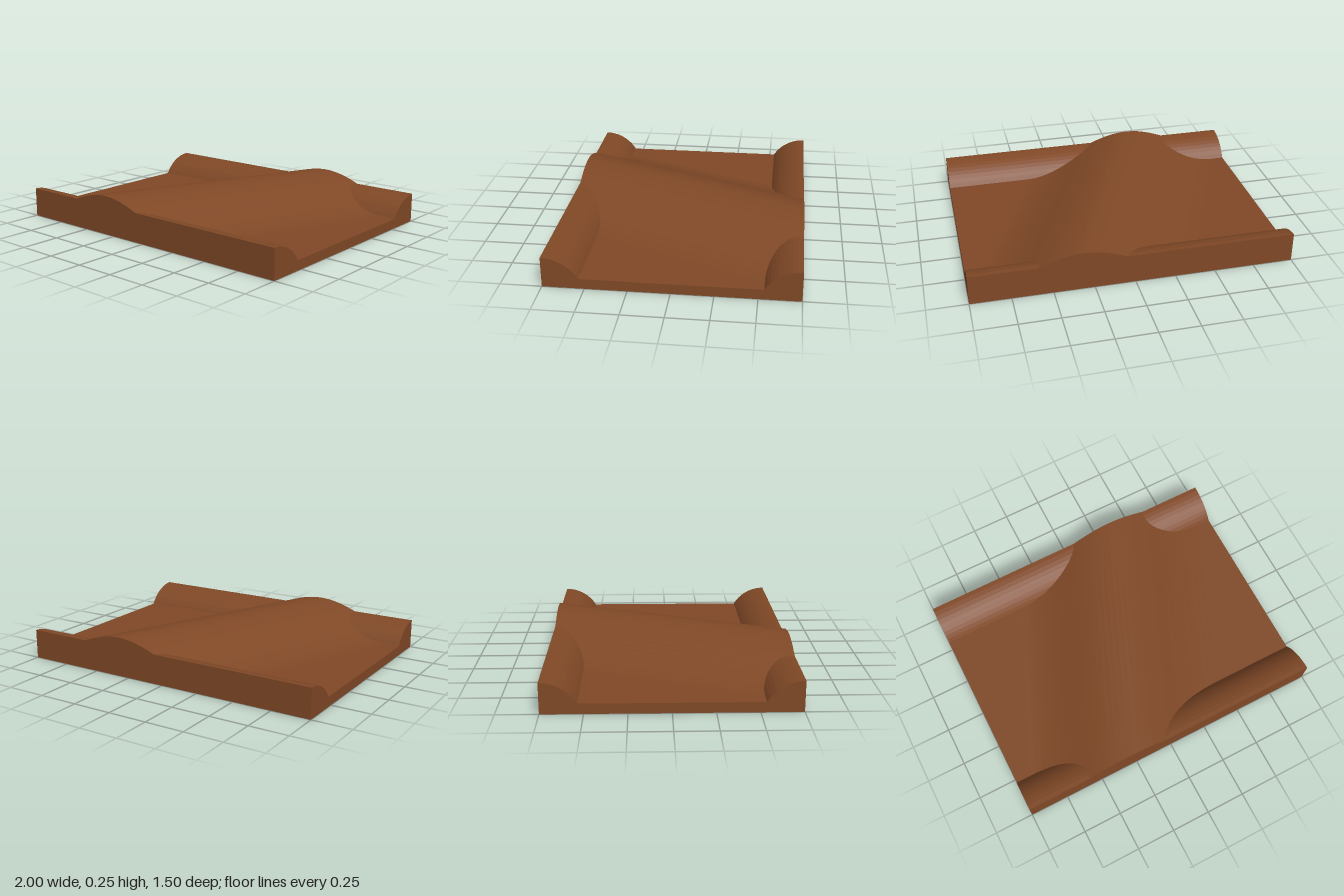
import * as THREE from 'three';

const LENGTH = 2, DEPTH = 1.5, FLOOR = 0.0625;

// Solid with the given outline, extruded along z and centred
function prism(points, depth) {
  const geo = new THREE.ExtrudeGeometry(new THREE.Shape(points), { depth, bevelEnabled: false });
  return geo.translate(0, 0, -depth / 2);
}

export function createModel() {
  const group = new THREE.Group();
  const wood = new THREE.MeshStandardMaterial({ color: 0x7f4826 });
  wood.name = 'brownWood';

  const add = (name, geo) => {
    const mesh = new THREE.Mesh(geo, wood);
    mesh.name = name;
    group.add(mesh);
    return mesh;
  };

  // Flat base slab
  add('baseSlab', new THREE.BoxGeometry(LENGTH, FLOOR, DEPTH).translate(0, FLOOR / 2, 0));

  // Curved rails along the front and back edges: a circular arc rising to the outer edge
  const R = 0.25, arcSteps = 9;
  const railProfile = [new THREE.Vector2(DEPTH / 2, FLOOR)];
  for (let i = 0; i <= arcSteps; i++) {
    const a = (i / arcSteps) * Math.PI / 3;
    railProfile.push(new THREE.Vector2(DEPTH / 2 - R * Math.sin(a), -FLOOR + R * Math.cos(a)));
  }
  const railGeo = prism(railProfile, LENGTH).rotateY(-Math.PI / 2);
  add('frontRail', railGeo);
  add('backRail', railGeo).rotation.y = Math.PI;

  // Smooth cosine ridge crossing the slab at a slant
  const halfWidth = 0.68, rise = 0.1875, steps = 32;
  const ridgeProfile = [];
  for (let i = 0; i <= steps; i++) {
    const t = 1 - (2 * i) / steps;
    ridgeProfile.push(new THREE.Vector2(t * halfWidth, FLOOR + rise * (1 + Math.cos(Math.PI * t)) / 2));
  }
  const slant = new THREE.Matrix4().set(
    1, 0, -0.423, 0,
    0, 1, 0, 0,
    0, 0, 1, 0,
    0, 0, 0, 1);
  add('slantedRidge', prism(ridgeProfile, DEPTH).applyMatrix4(slant));

  return group;
}
